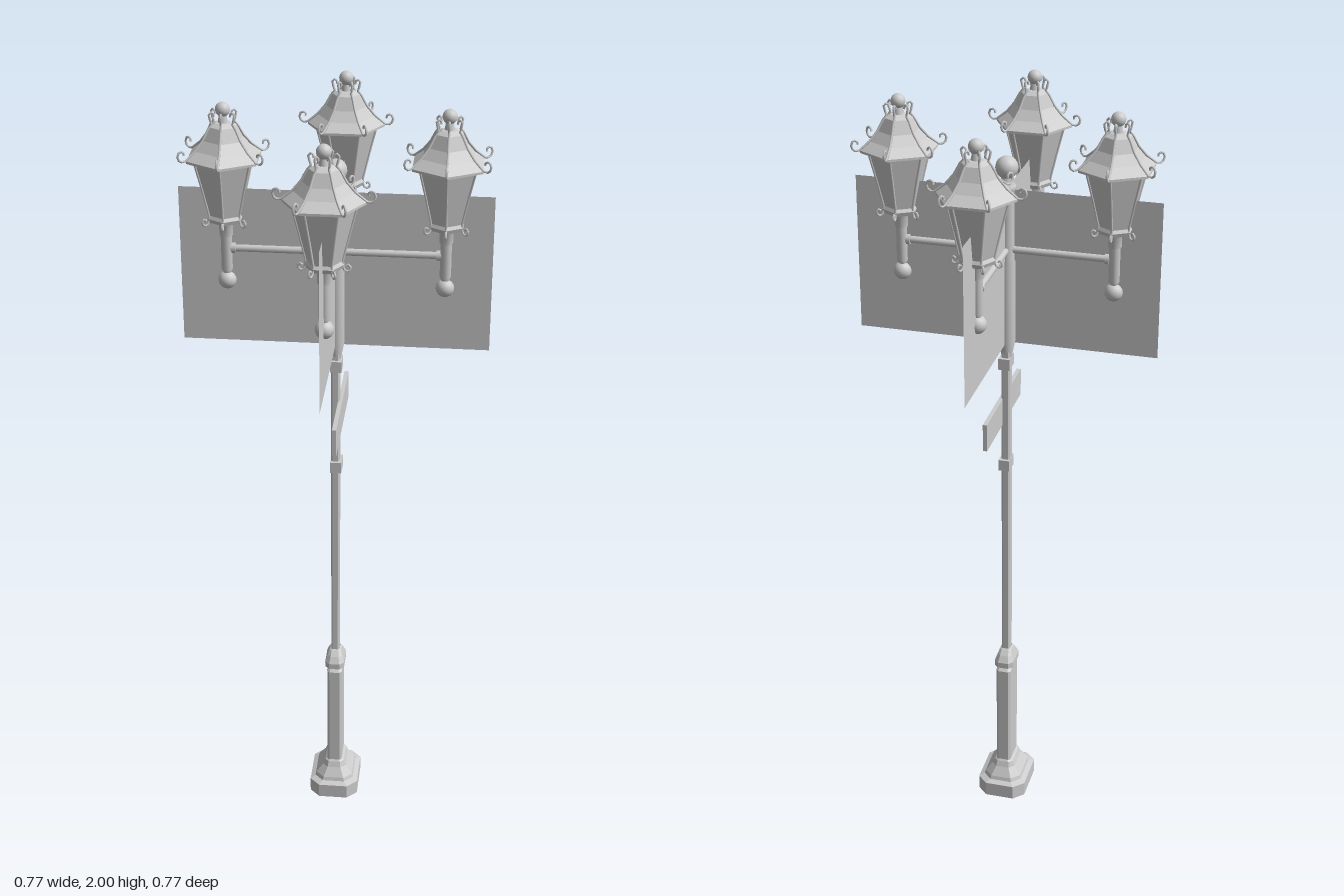
import * as THREE from 'three';

const smooth = new THREE.MeshStandardMaterial({ color: 0xcccccc, side: THREE.DoubleSide });
const faceted = new THREE.MeshStandardMaterial({ color: 0xcccccc, side: THREE.DoubleSide, flatShading: true });

function add(parent, name, geometry, material, x = 0, y = 0, z = 0) {
  const mesh = new THREE.Mesh(geometry, material);
  mesh.name = name;
  mesh.position.set(x, y, z);
  parent.add(mesh);
  return mesh;
}

const lathe = (points, sides) =>
  new THREE.LatheGeometry(points.map(([r, y]) => new THREE.Vector2(r, y)), sides);

// Skin over a row of closed rings, each a list of [x, y, z]
function loft(rings) {
  const n = rings[0].length, index = [];
  for (let i = 0; i < rings.length - 1; i++) {
    for (let j = 0; j < n; j++) {
      const a = i * n + j, b = i * n + (j + 1) % n;
      index.push(a, a + n, b, b, a + n, b + n);
    }
  }
  const g = new THREE.BufferGeometry();
  g.setAttribute('position', new THREE.Float32BufferAttribute(rings.flat(2), 3));
  g.setIndex(index);
  g.computeVertexNormals();
  return g;
}

// Stack of rectangles with cut corners: rows of [y, half width, half depth, corner cut]
function chamferedStack(rows) {
  return loft(rows.map(([y, w, d, c]) => [
    [w, y, d - c], [w - c, y, d], [c - w, y, d], [-w, y, d - c],
    [-w, y, c - d], [c - w, y, -d], [w - c, y, -d], [w, y, c - d],
  ]));
}

// Round wrought iron bar through [radius, y] points in a vertical plane
function scroll(points, thickness) {
  return loft(points.map(([r, y], i) => {
    const [r0, y0] = points[Math.max(i - 1, 0)];
    const [r1, y1] = points[Math.min(i + 1, points.length - 1)];
    const length = Math.hypot(r1 - r0, y1 - y0);
    const nr = (y1 - y0) / length, ny = (r0 - r1) / length;
    return Array.from({ length: 6 }, (_, k) => {
      const c = thickness * Math.cos(k * Math.PI / 3), s = thickness * Math.sin(k * Math.PI / 3);
      return [r + nr * c, y + ny * c, s];
    });
  }));
}

// Hexagonal lantern standing on the axis of its own group
function lantern() {
  const g = new THREE.Group();
  g.name = 'lantern';
  add(g, 'dropBall', new THREE.SphereGeometry(0.023, 16, 12), smooth, 0, 1.545);
  add(g, 'stem', lathe([[0.008, 1.56], [0.014, 1.575], [0.014, 1.66], [0.017, 1.665], [0.017, 1.69], [0.026, 1.705]], 12), smooth);
  add(g, 'glassBody', lathe([[0, 1.702], [0.043, 1.702], [0.047, 1.712], [0.042, 1.72], [0.076, 1.862], [0, 1.862]], 6), faceted);
  add(g, 'roof', lathe([[0, 1.86], [0.097, 1.86], [0.097, 1.866], [0.07, 1.886], [0.05, 1.91], [0.035, 1.942], [0.02, 1.95], [0, 1.952]], 6), faceted);
  add(g, 'finialNeck', new THREE.CylinderGeometry(0.008, 0.014, 0.035, 12), smooth, 0, 1.958);
  add(g, 'finialBall', new THREE.SphereGeometry(0.018, 16, 12), smooth, 0, 1.982);

  const roofRib = scroll([[0.022, 1.967], [0.024, 1.975], [0.03, 1.978], [0.035, 1.972], [0.032, 1.959], [0.029, 1.949],
    [0.038, 1.938], [0.052, 1.912], [0.072, 1.888], [0.098, 1.867], [0.108, 1.866], [0.115, 1.871], [0.118, 1.88],
    [0.115, 1.889], [0.108, 1.892], [0.102, 1.888], [0.102, 1.882]], 0.003);
  const bodyRib = scroll([[0.077, 1.86], [0.059, 1.79], [0.043, 1.722], [0.043, 1.708], [0.047, 1.698], [0.054, 1.695],
    [0.06, 1.699], [0.061, 1.706], [0.056, 1.712], [0.051, 1.708]], 0.003);
  for (let i = 0; i < 6; i++) {
    const angle = Math.PI / 6 + i * Math.PI / 3;
    add(g, 'roofScroll', roofRib, smooth).rotation.y = angle;
    add(g, 'bodyScroll', bodyRib, smooth).rotation.y = angle;
  }
  return g;
}

export function createModel() {
  const model = new THREE.Group();
  model.name = 'streetLamp';

  // Hollow stepped foot, pedestal and collar
  add(model, 'foot', chamferedStack([
    [0, 0.066, 0.083, 0.027], [0.04, 0.066, 0.083, 0.027], [0.046, 0.053, 0.069, 0.023],
    [0.056, 0.05, 0.066, 0.022], [0.08, 0.032, 0.05, 0.014], [0.095, 0.026, 0.044, 0.01], [0.1, 0.02, 0.04, 0.008],
  ]), faceted);
  add(model, 'pedestal', chamferedStack([[0.095, 0.02, 0.04, 0.006], [0.4, 0.02, 0.04, 0.006], [0.4, 0.01, 0.012, 0.003]]), faceted);
  add(model, 'collar', chamferedStack([
    [0.4, 0.021, 0.042, 0.008], [0.408, 0.019, 0.034, 0.008], [0.412, 0.026, 0.042, 0.012], [0.428, 0.026, 0.042, 0.012],
    [0.445, 0.02, 0.031, 0.009], [0.457, 0.016, 0.019, 0.006], [0.46, 0.012, 0.015, 0.004],
  ]), faceted);

  // Slim post with sign clamps
  add(model, 'post', chamferedStack([[0.44, 0.011, 0.015, 0.004], [1.36, 0.011, 0.015, 0.004]]), faceted);
  for (const y of [1.035, 1.325]) add(model, 'clamp', new THREE.BoxGeometry(0.029, 0.03, 0.046), faceted, 0.002, y);
  add(model, 'signBoard', new THREE.BoxGeometry(0.011, 0.073, 0.335), faceted, 0.0125, 1.187, 0.002);

  // Round upper column with ball top
  add(model, 'upperColumn', lathe([[0.013, 1.34], [0.022, 1.385], [0.022, 1.6], [0.019, 1.605], [0.019, 1.78],
    [0.023, 1.785], [0.023, 1.795], [0.014, 1.805], [0.014, 1.825]], 16), smooth);
  add(model, 'topBall', new THREE.SphereGeometry(0.028, 20, 14), smooth, 0, 1.84);

  // Four arms, each with a lantern and a thin banner
  for (let i = 0; i < 4; i++) {
    const side = new THREE.Group();
    side.name = 'lampArm';
    side.rotation.y = i * Math.PI / 2;
    add(side, 'arm', new THREE.CylinderGeometry(0.009, 0.009, 0.27, 12), smooth, 0.135, 1.63).rotation.z = Math.PI / 2;
    add(side, 'armFlange', new THREE.CylinderGeometry(0.013, 0.013, 0.01, 12), smooth, 0.252, 1.63).rotation.z = Math.PI / 2;
    add(side, 'banner', new THREE.PlaneGeometry(0.385, 0.405), faceted, 0.1925, 1.5825);
    const lamp = lantern();
    lamp.position.x = 0.27;
    side.add(lamp);
    model.add(side);
  }
  return model;
}
